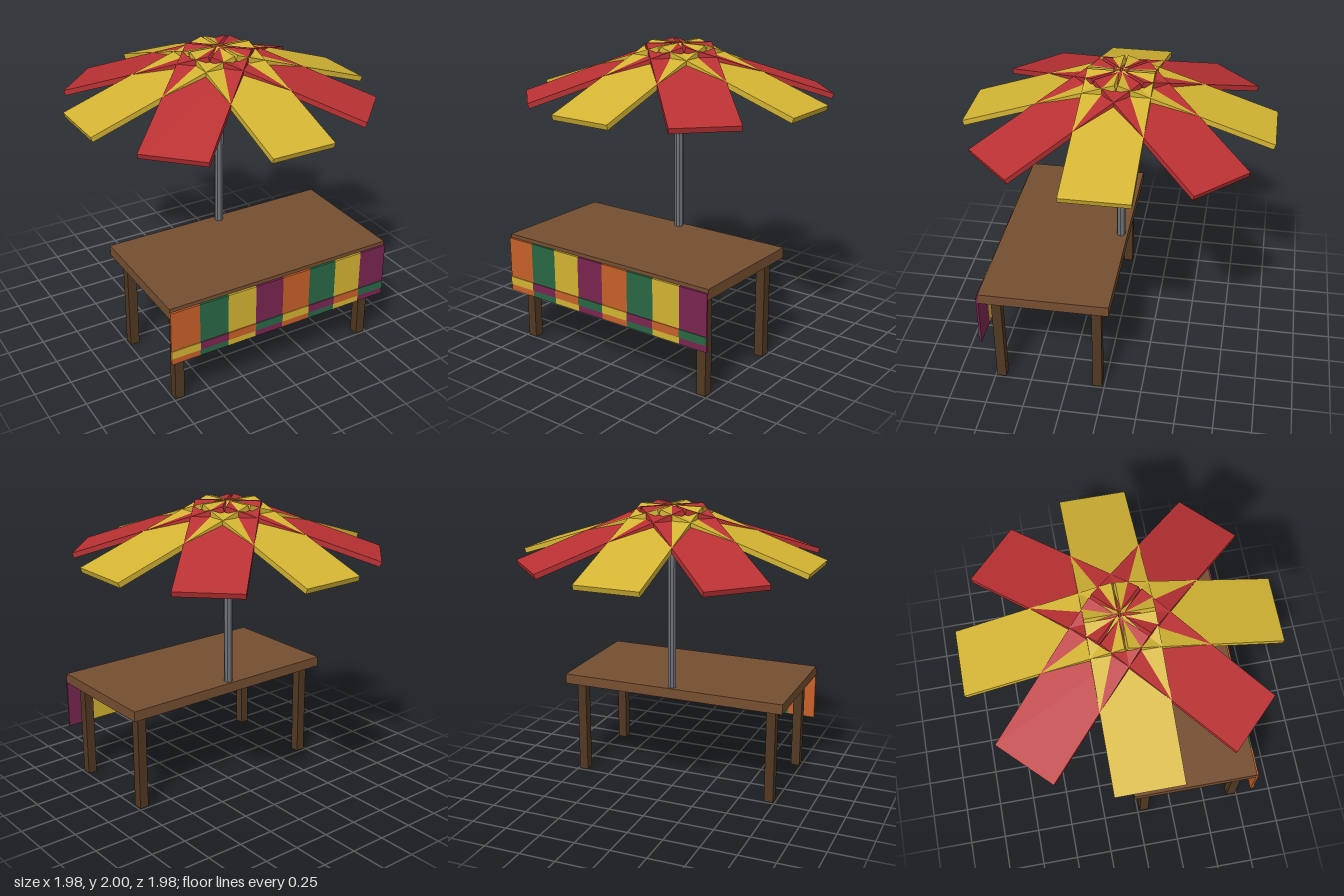
import * as THREE from 'three';

const paint = (name, color) => {
  const m = new THREE.MeshStandardMaterial({ color });
  m.name = name;
  return m;
};

export function createModel() {
  const model = new THREE.Group();
  model.name = 'marketStall';

  const yellow = paint('yellow', 0xd4b433);
  const red = paint('red', 0xba3133);
  const orange = paint('orange', 0xc8602a);
  const green = paint('green', 0x296844);
  const purple = paint('purple', 0x7a2651);
  const wood = paint('wood', 0x754e30);
  const darkWood = paint('darkWood', 0x523822);
  const metal = paint('greyMetal', 0x6e7178);
  metal.flatShading = true;

  // Box given by its lower and upper corner
  const box = (name, mat, [x0, y0, z0], [x1, y1, z1], parent = model) => {
    const mesh = new THREE.Mesh(new THREE.BoxGeometry(x1 - x0, y1 - y0, z1 - z0), mat);
    mesh.position.set((x0 + x1) / 2, (y0 + y1) / 2, (z0 + z1) / 2);
    mesh.name = name;
    parent.add(mesh);
    return mesh;
  };

  // Table
  box('tableTop', wood, [-0.8, 0.675, -0.045], [0.8, 0.745, 0.805]);
  for (const x of [-0.707, 0.707]) {
    for (const z of [0.047, 0.708]) {
      box('tableLeg', darkWood, [x - 0.032, 0, z - 0.032], [x + 0.032, 0.675, z + 0.032]);
    }
  }

  // Striped cloth hanging at the front, with a band of shifted colours
  const cloth = new THREE.Group();
  cloth.name = 'cloth';
  model.add(cloth);
  const stripes = [orange, green, yellow, purple];
  for (let i = 0; i < 8; i++) {
    const x = -0.8 + i * 0.2;
    box('clothStripe', stripes[i % 4], [x, 0.345, 0.805], [x + 0.2, 0.72, 0.819], cloth);
    box('clothBand', stripes[(i + 2) % 4], [x, 0.39, 0.817], [x + 0.2, 0.445, 0.824], cloth);
  }

  // Pole
  const pole = new THREE.Mesh(new THREE.CylinderGeometry(0.03, 0.03, 1.26, 8), metal);
  pole.position.y = 0.7 + 0.63;
  pole.name = 'pole';
  model.add(pole);

  // Parasol: eight sloping boards whose inner ends meet at the centre
  const parasol = new THREE.Group();
  parasol.name = 'parasol';
  parasol.position.y = 2;
  model.add(parasol);
  const tilt = 0.322, length = 1.032, thick = 0.035;
  const board = new THREE.BoxGeometry(0.428, thick, length);
  board.translate(0, -thick / 2, length / 2);
  board.rotateX(tilt);
  board.translate(0, 0, thick * Math.sin(tilt));
  for (let i = 0; i < 8; i++) {
    const mesh = new THREE.Mesh(board, i % 2 ? red : yellow);
    mesh.rotation.y = (i * Math.PI) / 4;
    mesh.name = 'parasolBoard';
    parasol.add(mesh);
  }

  return model;
}
